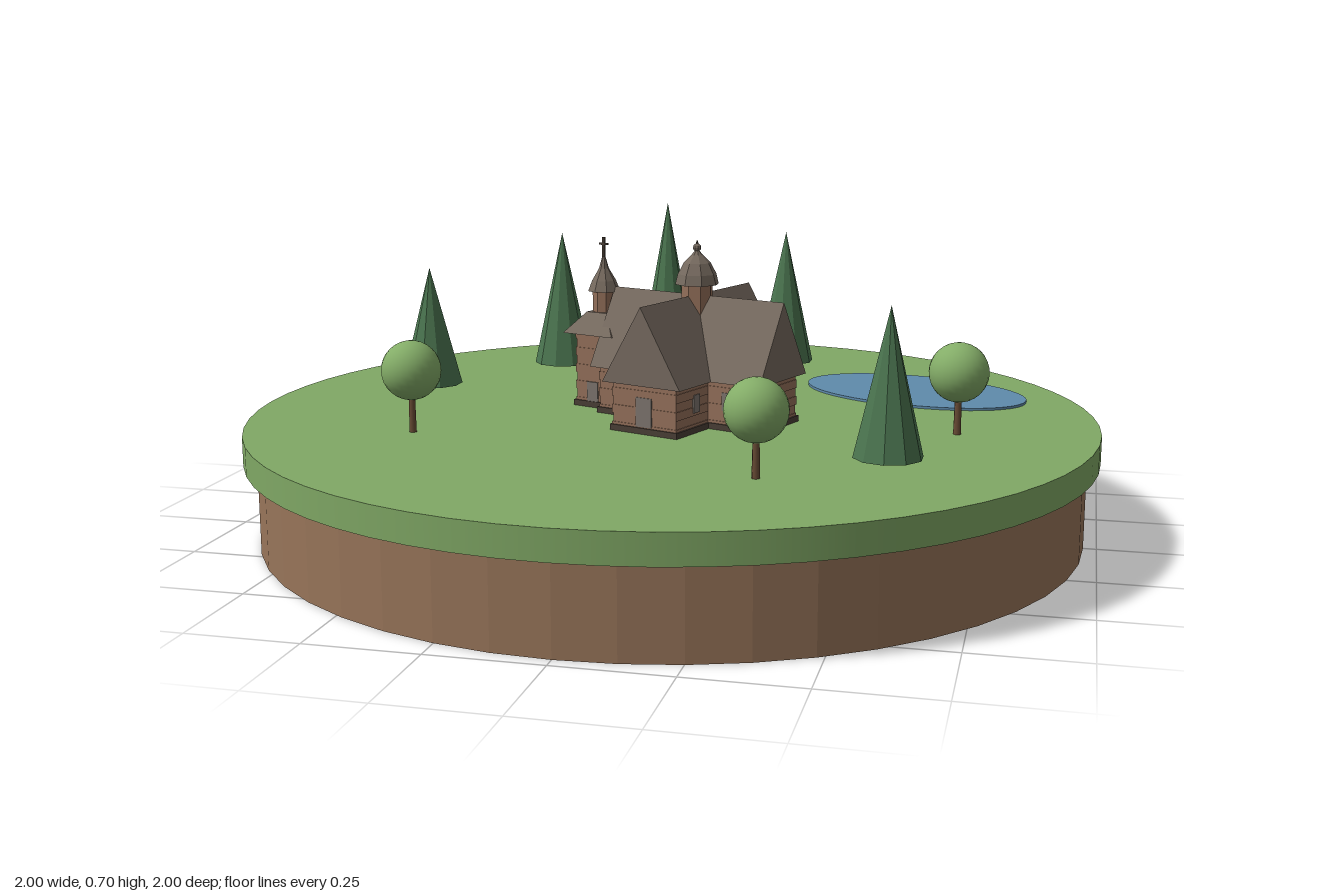
import * as THREE from 'three';

const mat = (name, color, extra = {}) => {
  const m = new THREE.MeshStandardMaterial({ color, ...extra });
  m.name = name;
  return m;
};
const M = {
  grass: mat('grass', 0x80a865),
  earth: mat('earth', 0x98755a, { flatShading: true }),
  water: mat('water', 0x5f8bac),
  needles: mat('needles', 0x4b7550, { flatShading: true }),
  leaves: mat('leaves', 0x84ad68),
  bark: mat('bark', 0x6a4c36),
  timber: mat('timber', 0x94705a, { flatShading: true }),
  roof: mat('roof', 0x766a5f, { flatShading: true }),
  glass: mat('glass', 0x7c746d),
  iron: mat('iron', 0x4a3f36),
};
const GROUND = 0.267;

function add(parent, name, geometry, material, x = 0, y = 0, z = 0) {
  const mesh = new THREE.Mesh(geometry, material);
  mesh.name = name;
  mesh.position.set(x, y, z);
  parent.add(mesh);
  return mesh;
}
const box = (w, h, d) => new THREE.BoxGeometry(w, h, d);
const lathe = (points, sides) =>
  new THREE.LatheGeometry(points.map(([r, y]) => new THREE.Vector2(r, y)), sides);

// Stacked timber courses, every second one set back slightly
function timberWall(parent, name, w, d, h, count, x = 0) {
  const step = h / count;
  for (let i = 0; i < count; i++) {
    const inset = i % 2 ? 0.004 : 0;
    add(parent, name, box(w - inset, step, d - inset), M.timber, x, step * (i + 0.5), 0);
  }
}

// Steep gabled prism running along z
function gableRoof(halfWidth, rise, length) {
  const shape = new THREE.Shape();
  shape.moveTo(-halfWidth, 0);
  shape.lineTo(halfWidth, 0);
  shape.lineTo(0, rise);
  const g = new THREE.ExtrudeGeometry(shape, { depth: length, bevelEnabled: false });
  return g.translate(0, 0, -length / 2);
}

function createChapel() {
  const chapel = new THREE.Group();
  chapel.name = 'chapel';

  // Cross-shaped hall with two crossing gabled roofs
  for (const turn of [0, Math.PI / 2]) {
    const wing = new THREE.Group();
    wing.name = 'hallWing';
    wing.rotation.y = turn;
    add(wing, 'foundation', box(0.184, 0.014, 0.45), M.iron, 0, 0.007, 0);
    timberWall(wing, 'hallWall', 0.176, 0.442, 0.12, 6);
    add(wing, 'hallRoof', gableRoof(0.106, 0.18, 0.47), M.roof, 0, 0.113, 0);
    // Side and end windows
    for (const side of [-1, 1]) {
      for (const z of [-0.138, 0.138])
        add(wing, 'sideWindow', box(0.008, 0.042, 0.026), M.glass, side * 0.086, 0.067, z);
      if (turn || side < 0)
        add(wing, 'endWindow', box(0.03, 0.045, 0.008), M.glass, 0, 0.065, side * 0.219);
    }
    chapel.add(wing);
  }
  add(chapel, 'frontDoor', box(0.042, 0.068, 0.008), M.glass, 0, 0.05, 0.219);

  // Central cupola
  add(chapel, 'cupolaDrum', new THREE.CylinderGeometry(0.037, 0.037, 0.09, 8), M.timber, 0, 0.283, 0);
  add(chapel, 'cupolaDome', lathe([
    [0, 0.315], [0.052, 0.318], [0.046, 0.342], [0.032, 0.368],
    [0.014, 0.386], [0.006, 0.395], [0, 0.398]], 8), M.roof);
  add(chapel, 'cupolaFinial', new THREE.SphereGeometry(0.01, 8, 6), M.roof, 0, 0.403, 0);
  add(chapel, 'cupolaTip', new THREE.ConeGeometry(0.005, 0.014, 6), M.iron, 0, 0.415, 0);

  // Bell tower at the end of one wing
  const tower = new THREE.Group();
  tower.name = 'bellTower';
  tower.position.x = -0.268;
  add(tower, 'towerFoundation', box(0.108, 0.014, 0.108), M.iron, 0, 0.007, 0);
  timberWall(tower, 'towerWall', 0.1, 0.1, 0.185, 9);
  add(tower, 'towerDoor', box(0.032, 0.052, 0.006), M.glass, 0, 0.036, 0.049);
  const skirt = new THREE.CylinderGeometry(0.03 * Math.SQRT2, 0.072 * Math.SQRT2, 0.05, 4);
  add(tower, 'towerRoof', skirt.rotateY(Math.PI / 4), M.roof, 0, 0.205, 0);
  add(tower, 'belfry', new THREE.CylinderGeometry(0.028, 0.028, 0.06, 8), M.timber, 0, 0.255, 0);
  add(tower, 'spire', lathe([
    [0, 0.278], [0.039, 0.28], [0.029, 0.306], [0.012, 0.335], [0.005, 0.36], [0, 0.368]], 8), M.roof);
  add(tower, 'crossPost', box(0.006, 0.05, 0.006), M.iron, 0, 0.385, 0);
  add(tower, 'crossBar', box(0.024, 0.005, 0.005), M.iron, 0, 0.394, 0);
  chapel.add(tower);

  chapel.position.set(0.065, GROUND, 0.02);
  chapel.rotation.y = -0.35;
  return chapel;
}

export function createModel() {
  const model = new THREE.Group();
  model.name = 'chapelIsland';

  // Round base
  add(model, 'earthBase', new THREE.CylinderGeometry(0.97, 0.97, 0.2, 48), M.earth, 0, 0.1, 0);
  add(model, 'grassDisc', new THREE.CylinderGeometry(1, 1, GROUND - 0.2, 64), M.grass, 0, (GROUND + 0.2) / 2, 0);

  // Oval pond
  const pond = add(model, 'pond', new THREE.CylinderGeometry(1, 1, 0.006, 48), M.water, 0.54, GROUND + 0.003, -0.385);
  pond.scale.set(0.291, 1, 0.178);
  pond.rotation.y = -0.35;

  model.add(createChapel());

  // Conifers: x, z, tip height
  const conifers = [
    [-0.66, -0.13, 0.58], [-0.42, -0.487, 0.635], [-0.17, -0.657, 0.705],
    [0.16, -0.648, 0.635], [0.56, 0.385, 0.608]];
  for (const [x, z, tip] of conifers) {
    const h = tip - 0.285;
    add(model, 'conifer', new THREE.ConeGeometry(0.076, h, 10), M.needles, x, 0.285 + h / 2, z);
  }

  // Round leafy trees
  for (const [x, z] of [[-0.53, 0.325], [0.68, 0.06], [0.31, 0.555]]) {
    add(model, 'trunk', new THREE.CylinderGeometry(0.007, 0.009, 0.1, 8), M.bark, x, GROUND + 0.05, z);
    add(model, 'crown', new THREE.SphereGeometry(0.068, 24, 16), M.leaves, x, 0.41, z);
  }
  return model;
}
